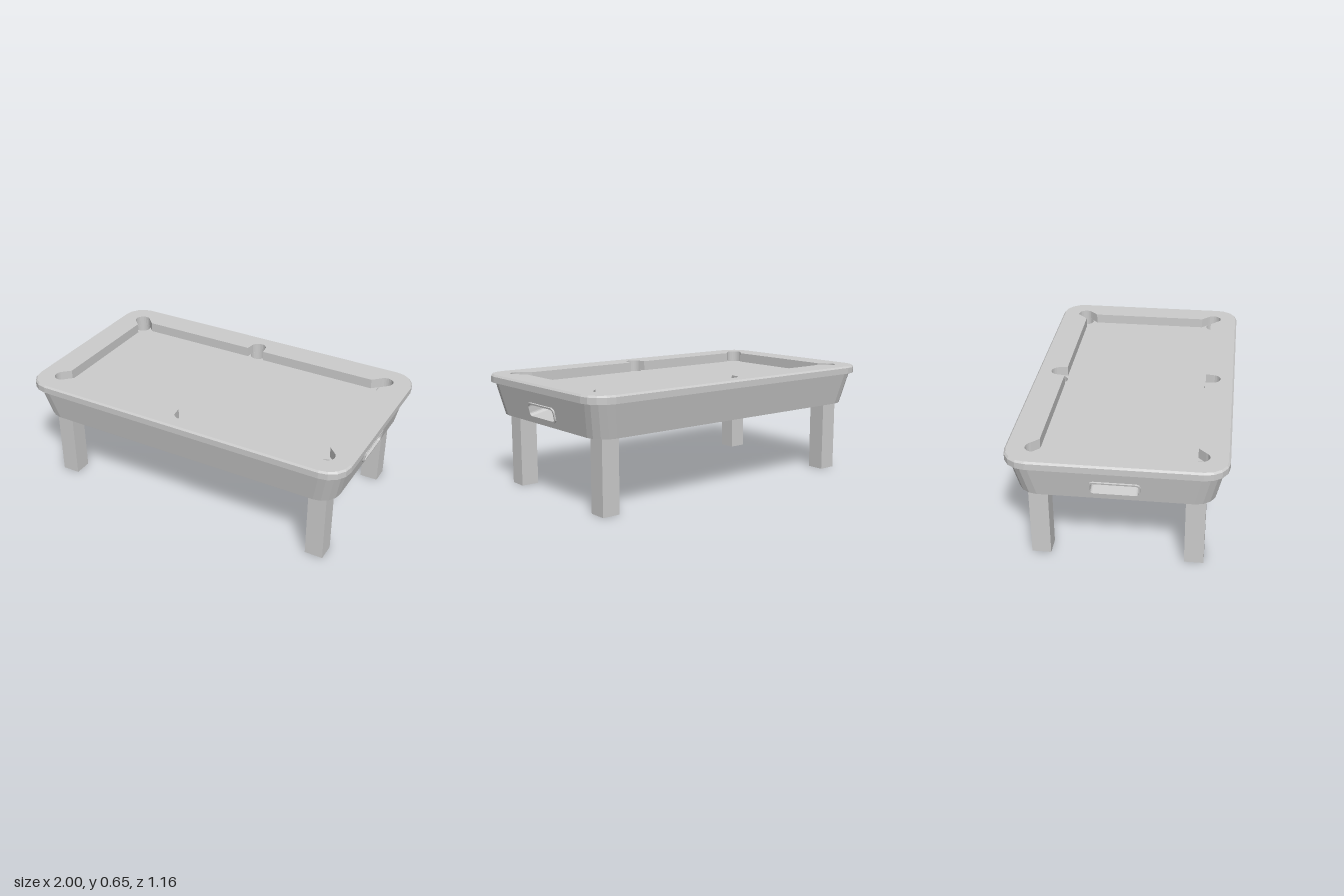
import * as THREE from 'three';

const material = new THREE.MeshStandardMaterial({ color: 0xcccccc, flatShading: true, side: THREE.DoubleSide });

const BODY_BOTTOM = 0.42, RIM_BOTTOM = 0.61, TOP = 0.655, BED = 0.597, POCKET_FLOOR = 0.54;
const POCKET_R = 0.047, BODY_R = 0.11;
const CORNER = [0.85, 0.43], MIDDLE = [0, 0.455];

function add(parent, name, geometry) {
  const mesh = new THREE.Mesh(geometry, material);
  mesh.name = name;
  parent.add(mesh);
  return mesh;
}

// Outline points of a rounded rectangle, four segments per corner
function roundedRect(hx, hy, r, seg = 4) {
  const pts = [];
  [[1, 1], [-1, 1], [-1, -1], [1, -1]].forEach(([sx, sy], k) => {
    for (let i = 0; i <= seg; i++) {
      const a = (k + i / seg) * Math.PI / 2;
      pts.push(new THREE.Vector2(sx * (hx - r) + r * Math.cos(a), sy * (hy - r) + r * Math.sin(a)));
    }
  });
  return pts;
}

const level = (pts, y) => pts.map(p => new THREE.Vector3(p.x, y, p.y));

// Skin between closed rings of equal point count, leaving out chosen columns
function loft(rings, skip = []) {
  const pos = [];
  for (let r = 0; r < rings.length - 1; r++) {
    const lo = rings[r], hi = rings[r + 1], n = lo.length;
    for (let i = 0; i < n; i++) {
      if (skip.includes(i)) continue;
      const j = (i + 1) % n;
      for (const v of [lo[i], hi[i], lo[j], hi[i], hi[j], lo[j]]) pos.push(v.x, v.y, v.z);
    }
  }
  const g = new THREE.BufferGeometry();
  g.setAttribute('position', new THREE.Float32BufferAttribute(pos, 3));
  g.computeVertexNormals();
  return g;
}

function shapeWithHoles(outline, holes = []) {
  const s = new THREE.Shape(outline);
  holes.forEach(h => s.holes.push(new THREE.Path(h)));
  return s;
}

// Flat horizontal sheet facing up
function sheet(outline, holes, y) {
  return new THREE.ShapeGeometry(shapeWithHoles(outline, holes)).rotateX(-Math.PI / 2).translate(0, y, 0);
}

function arc([cx, cy], from, to, steps) {
  return Array.from({ length: steps + 1 }, (_, i) => {
    const a = THREE.MathUtils.degToRad(from + (to - from) * i / steps);
    return new THREE.Vector2(cx + POCKET_R * Math.cos(a), cy + POCKET_R * Math.sin(a));
  });
}

// Opening in the rim: one quarter mirrored into four
function fieldOutline() {
  const q = [
    ...arc(MIDDLE, 80, 0, 5),
    new THREE.Vector2(0.053, 0.415),
    new THREE.Vector2(0.77, 0.415),
    ...arc(CORNER, 148, -49, 12),
    new THREE.Vector2(0.84, 0.355),
  ];
  const mirror = (sx, sy) => q.map(p => new THREE.Vector2(p.x * sx, p.y * sy));
  return [...mirror(1, 1), ...mirror(1, -1).reverse(), ...mirror(-1, -1), ...mirror(-1, 1).reverse()];
}

export function createModel() {
  const table = new THREE.Group();
  table.name = 'poolTable';

  // Tapered body, open at both ends for the handle walls
  const bottomRing = roundedRect(0.935, 0.52, BODY_R);
  const topRing = roundedRect(0.975, 0.56, BODY_R);
  add(table, 'body', loft([level(bottomRing, BODY_BOTTOM), level(topRing, RIM_BOTTOM)], [9, 19]));
  add(table, 'underside', new THREE.ShapeGeometry(new THREE.Shape(bottomRing))
    .rotateX(Math.PI / 2).translate(0, BODY_BOTTOM, 0));

  // Rim with a chamfered outer edge
  const rimSide = roundedRect(1, 0.582, 0.13);
  const rimTop = roundedRect(0.991, 0.573, 0.121);
  add(table, 'rimEdge', loft([
    level(topRing, RIM_BOTTOM), level(rimSide, RIM_BOTTOM), level(rimSide, TOP - 0.01), level(rimTop, TOP),
  ]));
  const field = fieldOutline();
  add(table, 'rimTop', sheet(rimTop, [field], TOP));
  add(table, 'cushions', loft([level(field, BED), level(field, TOP)]));

  // Playing bed and its six pockets
  const pockets = [];
  for (const s of [-1, 1]) {
    pockets.push([0, s * MIDDLE[1]]);
    for (const t of [-1, 1]) pockets.push([t * CORNER[0], s * CORNER[1]]);
  }
  const circles = pockets.map(c => arc(c, 0, 360, 24).slice(0, -1));
  add(table, 'bed', sheet(roundedRect(0.91, 0.51, 0.01), circles, BED));
  circles.forEach(c => {
    const pocket = new THREE.Group();
    pocket.name = 'pocket';
    add(pocket, 'pocketWall', loft([level(c, BED), level(c, POCKET_FLOOR)]));
    // sheet() flips the outline front to back, so give it the mirrored circle
    add(pocket, 'pocketFloor', sheet(c.map(p => new THREE.Vector2(p.x, -p.y)), [], POCKET_FLOOR));
    table.add(pocket);
  });

  // Sloping end walls with a recessed handle
  const slope = Math.atan2(0.04, RIM_BOTTOM - BODY_BOTTOM);
  const wallHeight = Math.hypot(0.04, RIM_BOTTOM - BODY_BOTTOM);
  const raise = p => new THREE.Vector2(p.x, p.y + 0.077);
  const frameOuter = roundedRect(0.136, 0.043, 0.026).map(raise);
  const frameInner = roundedRect(0.126, 0.034, 0.018).map(raise);
  const wallOutline = [[-0.41, 0], [0.41, 0], [0.45, wallHeight], [-0.45, wallHeight]]
    .map(([x, y]) => new THREE.Vector2(x, y));
  const depthRing = z => frameInner.map(p => new THREE.Vector3(p.x, p.y, z));
  for (const s of [-1, 1]) {
    const end = new THREE.Group();
    end.name = s > 0 ? 'leftEnd' : 'rightEnd';
    end.rotation.set(slope, s * Math.PI / 2, 0, 'YXZ');
    end.position.set(s * 0.935, BODY_BOTTOM, 0);
    add(end, 'endWall', new THREE.ShapeGeometry(shapeWithHoles(wallOutline, [frameInner])));
    add(end, 'handleFrame', new THREE.ExtrudeGeometry(shapeWithHoles(frameOuter, [frameInner]),
      { depth: 0.009, bevelEnabled: false }));
    add(end, 'handleRecess', loft([depthRing(0), depthRing(-0.13)]));
    add(end, 'handleBack', new THREE.ShapeGeometry(new THREE.Shape(frameInner)).translate(0, 0, -0.13));
    table.add(end);
  }

  // Square legs
  for (const sx of [-1, 1]) for (const sz of [-1, 1]) {
    add(table, 'leg', new THREE.BoxGeometry(0.105, BODY_BOTTOM, 0.105))
      .position.set(sx * 0.832, BODY_BOTTOM / 2, sz * 0.416);
  }
  return table;
}
